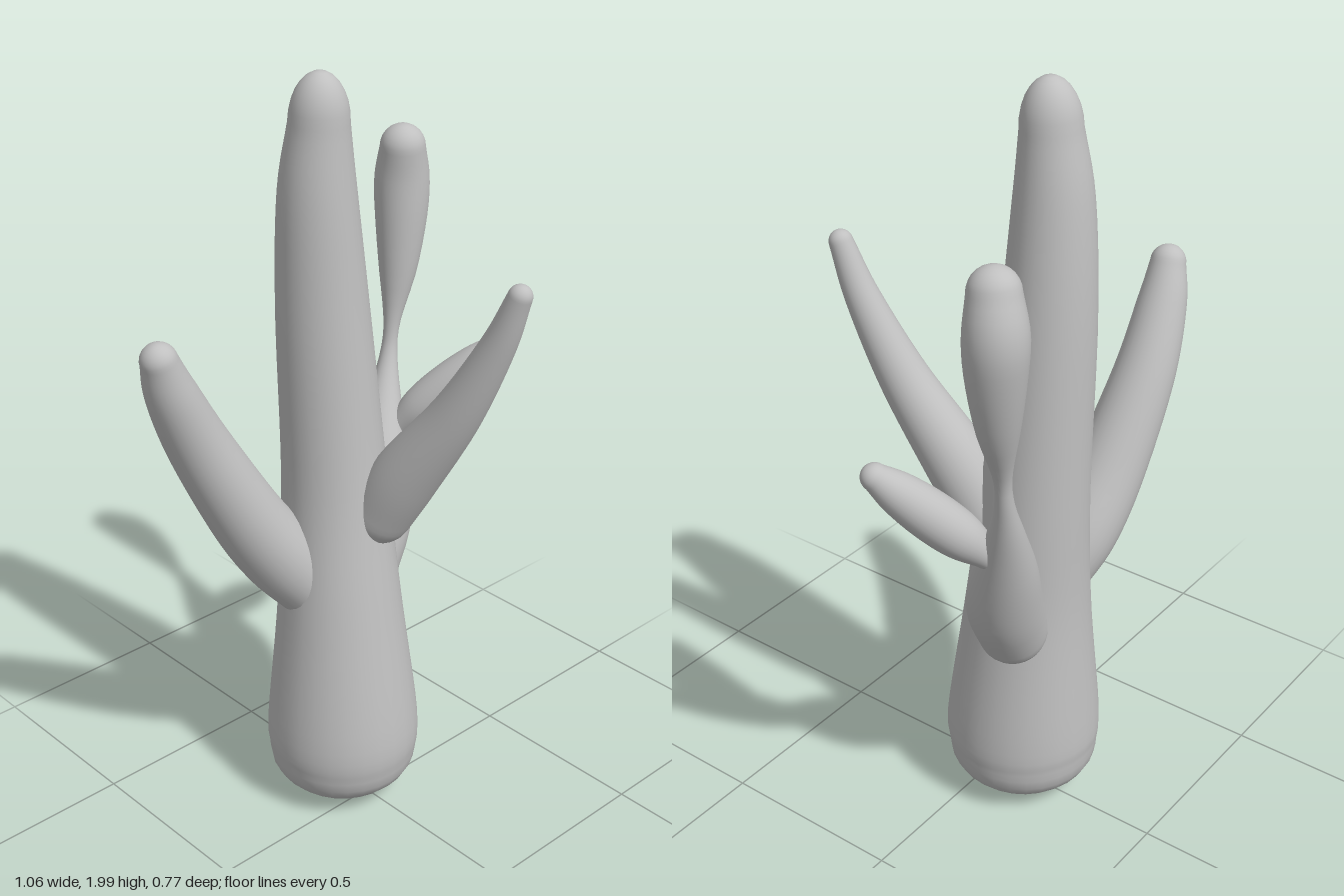
import * as THREE from 'three';

const SIDES = 28, STEPS = 32, CAP = 7;

// Smooth limb through [x, y, z, radius] points, closed by rounded ends
function limbGeometry(points, startCap = points[0][3], endCap = points[points.length - 1][3]) {
  const path = new THREE.CatmullRomCurve3(points.map(p => new THREE.Vector3(p[0], p[1], p[2])), false, 'catmullrom');
  const radii = new THREE.CatmullRomCurve3(points.map(p => new THREE.Vector3(p[3], 0, 0)), false, 'catmullrom');
  const rings = [];
  const addRing = (t, shrink, shift) => {
    const dir = path.getTangent(t);
    rings.push({ dir, centre: path.getPoint(t).addScaledVector(dir, shift), r: radii.getPoint(t).x * shrink });
  };
  for (let i = 0; i < CAP; i++) {
    const a = (1 - i / CAP) * Math.PI / 2;
    addRing(0, Math.cos(a), -startCap * Math.sin(a));
  }
  for (let i = 0; i <= STEPS; i++) addRing(i / STEPS, 1, 0);
  for (let i = 1; i <= CAP; i++) {
    const a = i / CAP * Math.PI / 2;
    addRing(1, Math.cos(a), endCap * Math.sin(a));
  }

  const positions = [], index = [], last = rings.length - 1;
  for (const { dir, centre, r } of rings) {
    const u = new THREE.Vector3().crossVectors(dir, new THREE.Vector3(0, 0, 1)).normalize();
    const v = new THREE.Vector3().crossVectors(dir, u);
    for (let j = 0; j < SIDES; j++) {
      const a = j / SIDES * Math.PI * 2;
      const p = centre.clone().addScaledVector(u, r * Math.cos(a)).addScaledVector(v, r * Math.sin(a));
      positions.push(p.x, p.y, p.z);
    }
  }
  // End rings collapse to a single pole vertex
  const at = (i, j) => i * SIDES + (i === 0 || i === last ? 0 : j % SIDES);
  for (let i = 0; i < last; i++) {
    for (let j = 0; j < SIDES; j++) {
      if (i > 0) index.push(at(i, j), at(i, j + 1), at(i + 1, j));
      if (i < last - 1) index.push(at(i, j + 1), at(i + 1, j + 1), at(i + 1, j));
      if (i === 0) index.push(at(0, 0), at(1, j + 1), at(1, j));
    }
  }
  const geometry = new THREE.BufferGeometry();
  geometry.setAttribute('position', new THREE.Float32BufferAttribute(positions, 3));
  geometry.setIndex(index);
  geometry.computeVertexNormals();
  return geometry;
}

export function createModel() {
  const group = new THREE.Group();
  group.name = 'cactus';
  const grey = new THREE.MeshStandardMaterial({ color: 0xc0c0c0 });
  grey.name = 'plain grey';
  const addLimb = (name, ...args) => {
    const mesh = new THREE.Mesh(limbGeometry(...args), grey);
    mesh.name = name;
    group.add(mesh);
  };

  // Tall main stem with a swollen foot
  addLimb('trunk', [
    [-0.01, 0.13, -0.085, 0.2], [-0.01, 0.24, -0.085, 0.204], [-0.005, 0.6, -0.1, 0.164],
    [0.003, 0.95, -0.125, 0.137], [-0.012, 1.4, -0.145, 0.117], [-0.025, 1.7, -0.145, 0.097],
    [-0.025, 1.88, -0.135, 0.074],
  ], 0.125, 0.12);

  // Arm reaching to the right side
  addLimb('rightArm', [
    [-0.09, 0.66, -0.13, 0.09], [-0.16, 0.76, -0.155, 0.1], [-0.25, 0.9, -0.175, 0.095],
    [-0.37, 1.13, -0.195, 0.08], [-0.45, 1.3, -0.19, 0.064], [-0.487, 1.4, -0.18, 0.046],
  ]);

  // Arm reaching forward
  addLimb('frontArm', [
    [0.055, 0.87, -0.005, 0.085], [0.075, 1.0, 0.07, 0.085], [0.11, 1.2, 0.2, 0.064],
    [0.138, 1.4, 0.3, 0.044], [0.15, 1.54, 0.353, 0.03],
  ]);

  // Arm to the left side that pinches thin and swells into a bulb
  addLimb('leftArm', [
    [0.14, 0.61, -0.155, 0.09], [0.2, 0.73, -0.175, 0.096], [0.252, 0.87, -0.215, 0.08],
    [0.31, 1.02, -0.26, 0.046], [0.347, 1.13, -0.283, 0.024], [0.365, 1.22, -0.29, 0.023],
    [0.395, 1.36, -0.3, 0.051], [0.415, 1.5, -0.31, 0.069], [0.422, 1.6, -0.315, 0.073],
    [0.412, 1.69, -0.303, 0.06],
  ]);

  // Short offshoot beside the thin part of the left arm
  addLimb('offshoot', [
    [0.318, 0.955, -0.207, 0.037], [0.36, 1.01, -0.165, 0.057], [0.41, 1.075, -0.115, 0.06],
    [0.46, 1.14, -0.065, 0.051], [0.497, 1.187, -0.03, 0.034],
  ]);

  return group;
}
